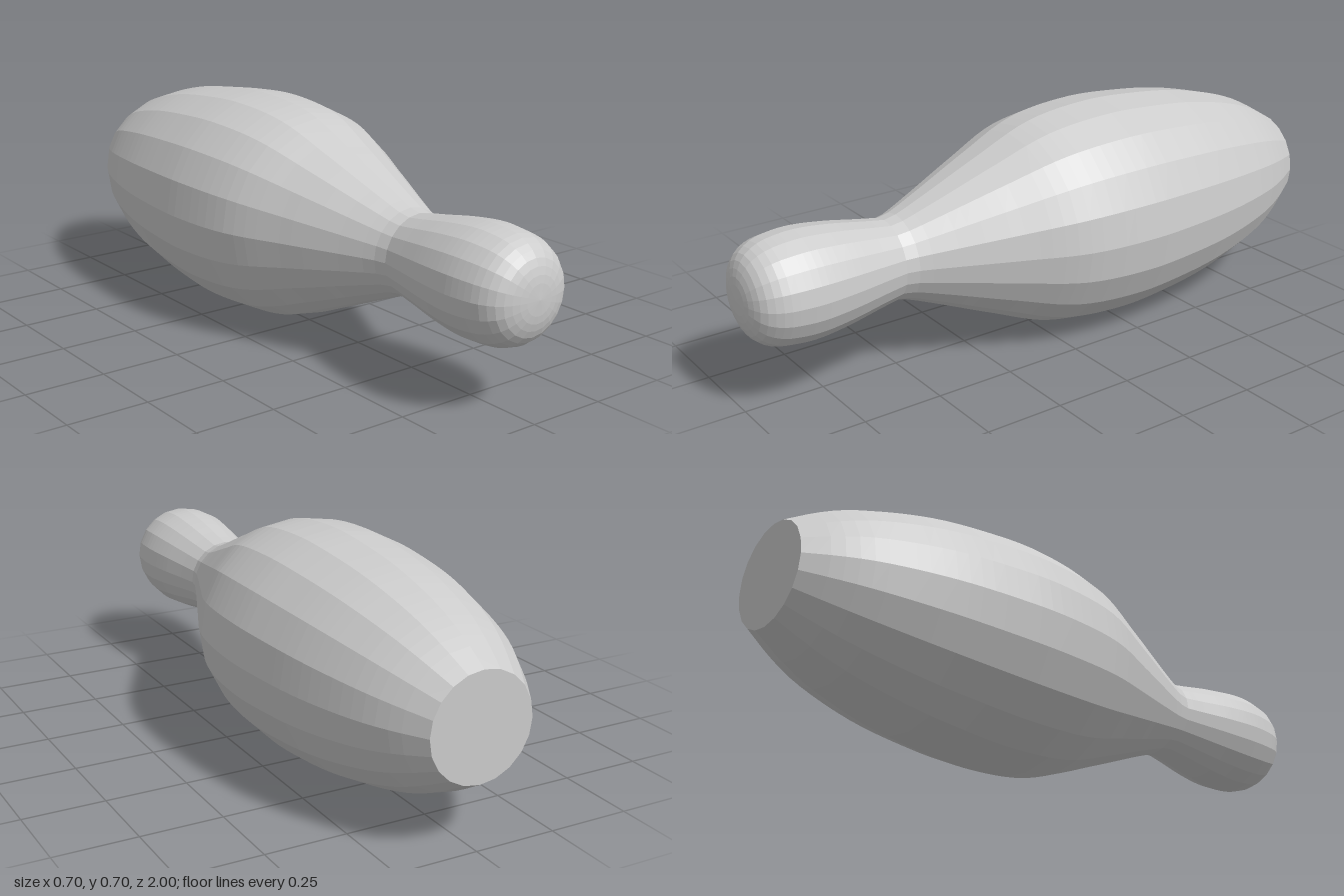
import * as THREE from 'three';

const SIDES = 20;
const RADIUS = 0.352;

// Smooth a few [radius, z] points into a dense lathe profile
function profile(points, samples) {
  const curve = new THREE.CatmullRomCurve3(points.map(([r, z]) => new THREE.Vector3(r, z, 0)), false, 'centripetal');
  return curve.getSpacedPoints(samples).map(p => new THREE.Vector2(Math.max(p.x, 0), p.y));
}

function lathe(name, points) {
  const geometry = new THREE.LatheGeometry(points, SIDES);
  geometry.rotateX(Math.PI / 2); // lay the axis along z
  const mesh = new THREE.Mesh(geometry, new THREE.MeshStandardMaterial({ color: 0xcccccc, flatShading: true }));
  mesh.name = name;
  mesh.position.y = RADIUS;
  return mesh;
}

export function createModel() {
  const group = new THREE.Group();
  group.name = 'pin';

  // Swelling body, from the cut base to the neck
  group.add(lathe('body', profile([
    [0.16, -1], [0.218, -0.9], [0.262, -0.8], [0.316, -0.6], [0.343, -0.4],
    [0.352, -0.22], [0.328, 0], [0.25, 0.2], [0.165, 0.4], [0.13, 0.49], [0.125, 0.52],
  ], 40)));

  // Rounded head, from the neck to the tip
  group.add(lathe('head', profile([
    [0.125, 0.52], [0.137, 0.59], [0.157, 0.7], [0.168, 0.8], [0.166, 0.86],
    [0.153, 0.925], [0.122, 0.97], [0.07, 0.993], [0, 1],
  ], 26)));

  // Flat disc closing the base
  group.add(lathe('base', [new THREE.Vector2(0, -1), new THREE.Vector2(0.16, -1)]));

  return group;
}
